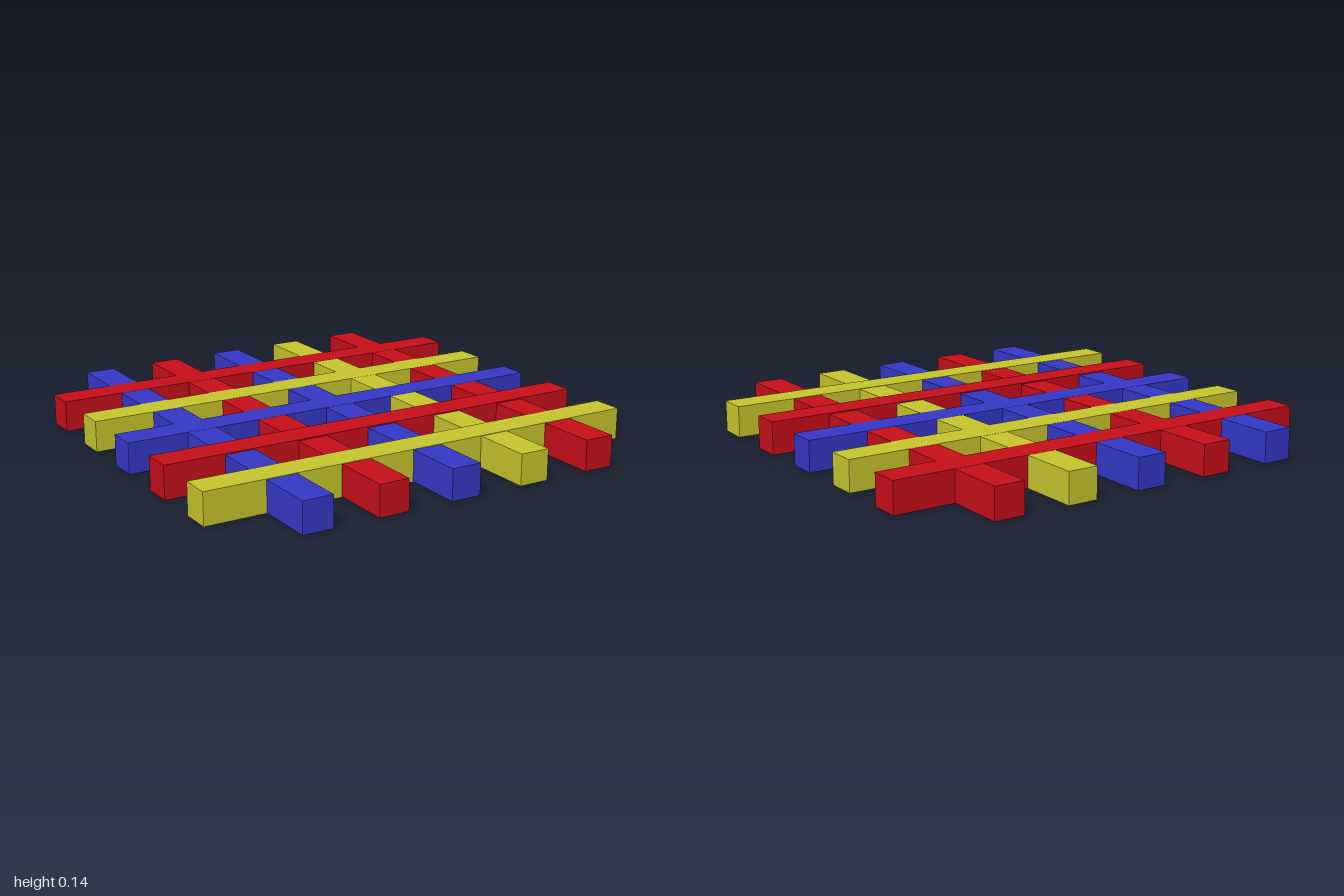
import * as THREE from 'three';

const WIDTH = 0.133;
const MID_Y = 0.072;
const SPACING = 1 / 3;

const red = new THREE.MeshStandardMaterial({ color: 0xc80f1a });
const blue = new THREE.MeshStandardMaterial({ color: 0x3538c8 });
const yellow = new THREE.MeshStandardMaterial({ color: 0xc8c62d });

// Bars running left to right, listed back to front: material and thickness
const crossBars = [[red, 0.135], [yellow, 0.135], [blue, 0.135], [red, 0.144], [yellow, 0.138]];

// Bars running front to back, listed from -x to +x
const longBars = [blue, red, blue, yellow, red].map((m) => [m, 0.134]);

function addBars(parent, name, bars, alongX) {
  const group = new THREE.Group();
  group.name = name;
  bars.forEach(([material, thickness], i) => {
    const geometry = alongX
      ? new THREE.BoxGeometry(2, thickness, WIDTH)
      : new THREE.BoxGeometry(WIDTH, thickness, 2);
    const bar = new THREE.Mesh(geometry, material);
    const offset = (i - 2) * SPACING;
    bar.position.set(alongX ? 0 : offset, MID_Y, alongX ? offset : 0);
    bar.name = `${alongX ? 'crossBar' : 'longBar'}${i + 1}`;
    group.add(bar);
  });
  parent.add(group);
}

export function createModel() {
  const model = new THREE.Group();
  model.name = 'barLattice';
  addBars(model, 'crossBars', crossBars, true);
  addBars(model, 'longBars', longBars, false);
  return model;
}
